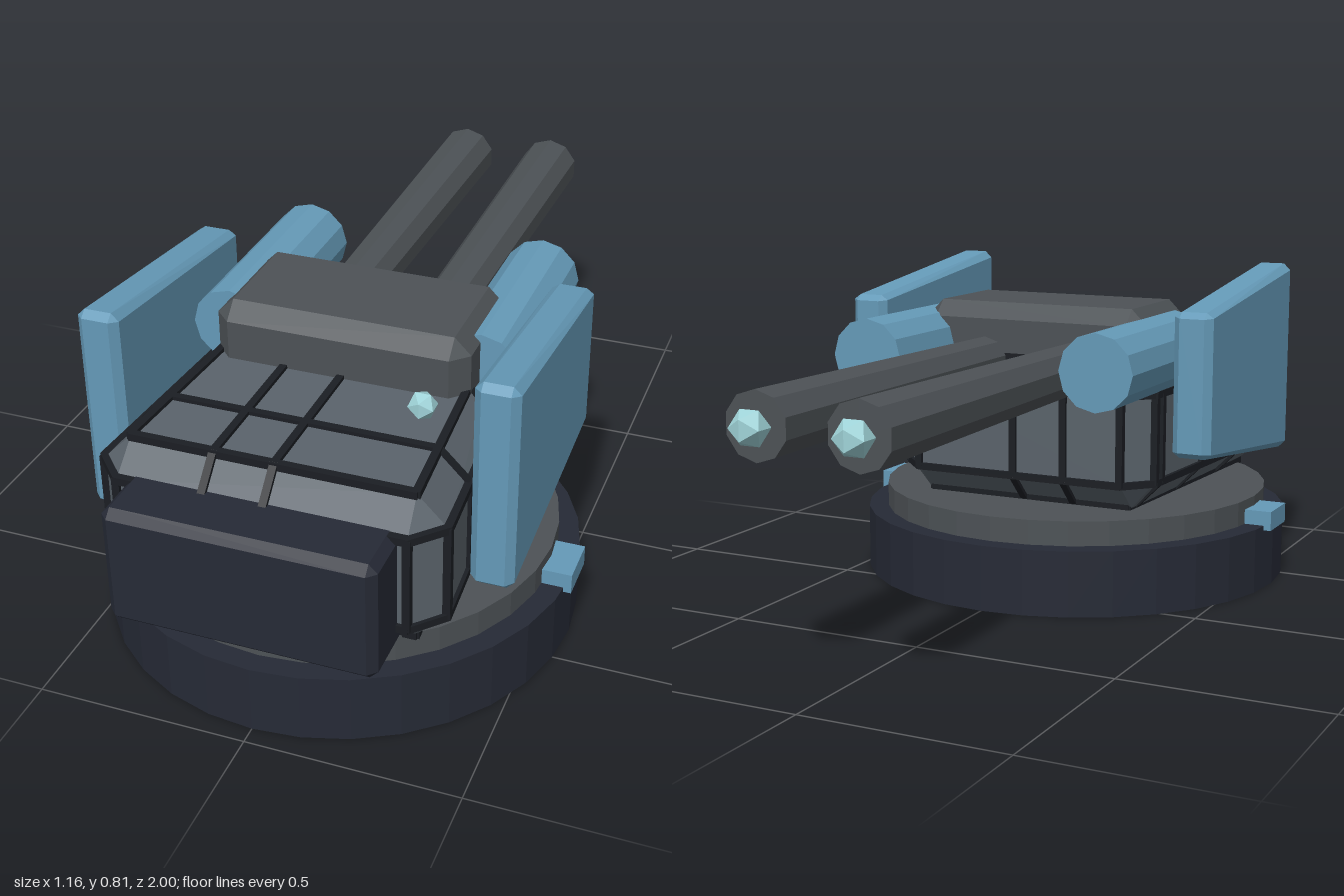
import * as THREE from 'three';
import { ConvexGeometry } from 'three/addons/geometries/ConvexGeometry.js';

const mat = (color) => new THREE.MeshStandardMaterial({ color, flatShading: true });
const navy = mat(0x262a36), grey = mat(0x4d5256), panel = mat(0x5a636b);
const seamDark = mat(0x1b1e23), blue = mat(0x659ab8), glow = mat(0x9fd3d8);

const V = (x, y, z) => new THREE.Vector3(x, y, z);

// Box with every edge chamfered by c; warp reshapes each point afterwards
function chamferBox([x0, x1], [y0, y1], [z0, z1], c, warp = (p) => p) {
  const pts = [];
  for (const [x, sx] of [[x0, 1], [x1, -1]])
    for (const [y, sy] of [[y0, 1], [y1, -1]])
      for (const [z, sz] of [[z0, 1], [z1, -1]]) {
        pts.push(V(x, y + sy * c, z + sz * c), V(x + sx * c, y, z + sz * c), V(x + sx * c, y + sy * c, z));
      }
  return new ConvexGeometry(pts.map(warp));
}

export function createModel() {
  const model = new THREE.Group();
  model.name = 'gunTurret';

  function add(parent, name, geometry, material, x = 0, y = 0, z = 0) {
    const mesh = new THREE.Mesh(geometry, material);
    mesh.name = name;
    mesh.position.set(x, y, z);
    parent.add(mesh);
    return mesh;
  }

  // Round base and turning ring
  add(model, 'base', new THREE.CylinderGeometry(0.567, 0.567, 0.167, 32), navy, 0, 0.0835, 0.39);
  add(model, 'turningRing', new THREE.CylinderGeometry(0.515, 0.515, 0.065, 32), grey, 0, 0.1975, 0.39);

  // Armoured hull, narrowing towards the muzzles
  const y0 = 0.235, y1 = 0.6, z0 = 0.025, z1 = 0.87, c = 0.07;
  const halfWidth = (z) => 0.345 + (0.055 * (z - z0)) / (z1 - z0);
  add(model, 'hull', chamferBox([-0.4, 0.4], [y0, y1], [z0, z1], c,
    (p) => V((p.x * halfWidth(p.z)) / 0.4, p.y, p.z)), panel);

  // Dark seams between the armour plates
  const seams = new THREE.Group();
  seams.name = 'plateSeams';
  model.add(seams);
  function bar(a, b) {
    const length = a.distanceTo(b);
    const seam = add(seams, 'seam', new THREE.BoxGeometry(0.018, 0.018, length + 0.008), seamDark);
    seam.position.lerpVectors(a, b, 0.5);
    seam.lookAt(b);
  }
  const loop = (pts) => pts.forEach((p, i) => bar(p, pts[(i + 1) % pts.length]));
  const octagon = (u0, u1, v0, v1) => [
    [u0 + c, v0], [u1 - c, v0], [u1, v0 + c], [u1, v1 - c],
    [u1 - c, v1], [u0 + c, v1], [u0, v1 - c], [u0, v0 + c]];
  for (const x of [-0.13, 0.01]) loop(octagon(z0, z1, y0, y1).map(([z, y]) => V(x, y, z)));
  for (const z of [0.13, 0.37, 0.63]) {
    const w = halfWidth(z);
    loop(octagon(-w, w, y0, y1).map(([x, y]) => V(x, y, z)));
  }
  const plan = octagon(-0.4, 0.4, z0, z1).map(([x, z]) => [(x * halfWidth(z)) / 0.4, z]);
  for (const y of [y0 + c, y1 - c]) loop(plan.map(([x, z]) => V(x, y, z)));
  for (const [x, z] of plan) bar(V(x, y0 + c, z), V(x, y1 - c, z));
  const inset = [[-1, z0 + c], [1, z0 + c], [1, z1 - c], [-1, z1 - c]];
  for (const y of [y0, y1]) loop(inset.map(([s, z]) => V(s * (halfWidth(z) - c), y, z)));

  // Counterweight box on the end opposite the barrels
  add(model, 'counterweight', chamferBox([-0.308, 0.308], [0.25, 0.54], [0.79, 1], 0.02), navy);

  // Raised breech housing on the roof
  add(model, 'breechHousing', chamferBox([-0.308, 0.308], [0.5, 0.735], [0.09, 0.425], 0.04), grey);

  // Sensor bead above the roof
  add(model, 'sensor', new THREE.IcosahedronGeometry(0.034, 0), glow, 0.265, 0.678, 0.59);

  // Paired parts
  for (const [side, s] of [['left', 1], ['right', -1]]) {
    const half = new THREE.Group();
    half.name = side + 'Side';
    model.add(half);

    // Side shield, shorter towards the muzzles
    add(half, side + 'Shield', chamferBox([-0.05, 0.05], [-0.255, 0.255], [0.055, 0.69], 0.018,
      (p) => V(p.x, 0.562 + p.y * (0.7 + (0.3 * (p.z - 0.055)) / 0.635), p.z)), blue, s * 0.455);

    // Recoil cylinder
    add(half, side + 'RecoilCylinder', new THREE.CylinderGeometry(0.095, 0.095, 0.51, 12), blue,
      s * 0.31, 0.62, 0.065).rotation.x = Math.PI / 2;

    // Barrel flaring slightly to the muzzle, with a glowing tip
    add(half, side + 'Barrel', new THREE.CylinderGeometry(0.064, 0.078, 1.14, 10), grey,
      s * 0.125, 0.583, -0.365).rotation.x = Math.PI / 2;
    add(half, side + 'MuzzleTip', new THREE.IcosahedronGeometry(0.045, 0), glow, s * 0.125, 0.583, -0.957);

    // Lock block on the rim of the base
    add(half, side + 'RimLock', new THREE.BoxGeometry(0.09, 0.05, 0.12), blue, s * 0.535, 0.18, 0.39);
  }
  return model;
}
